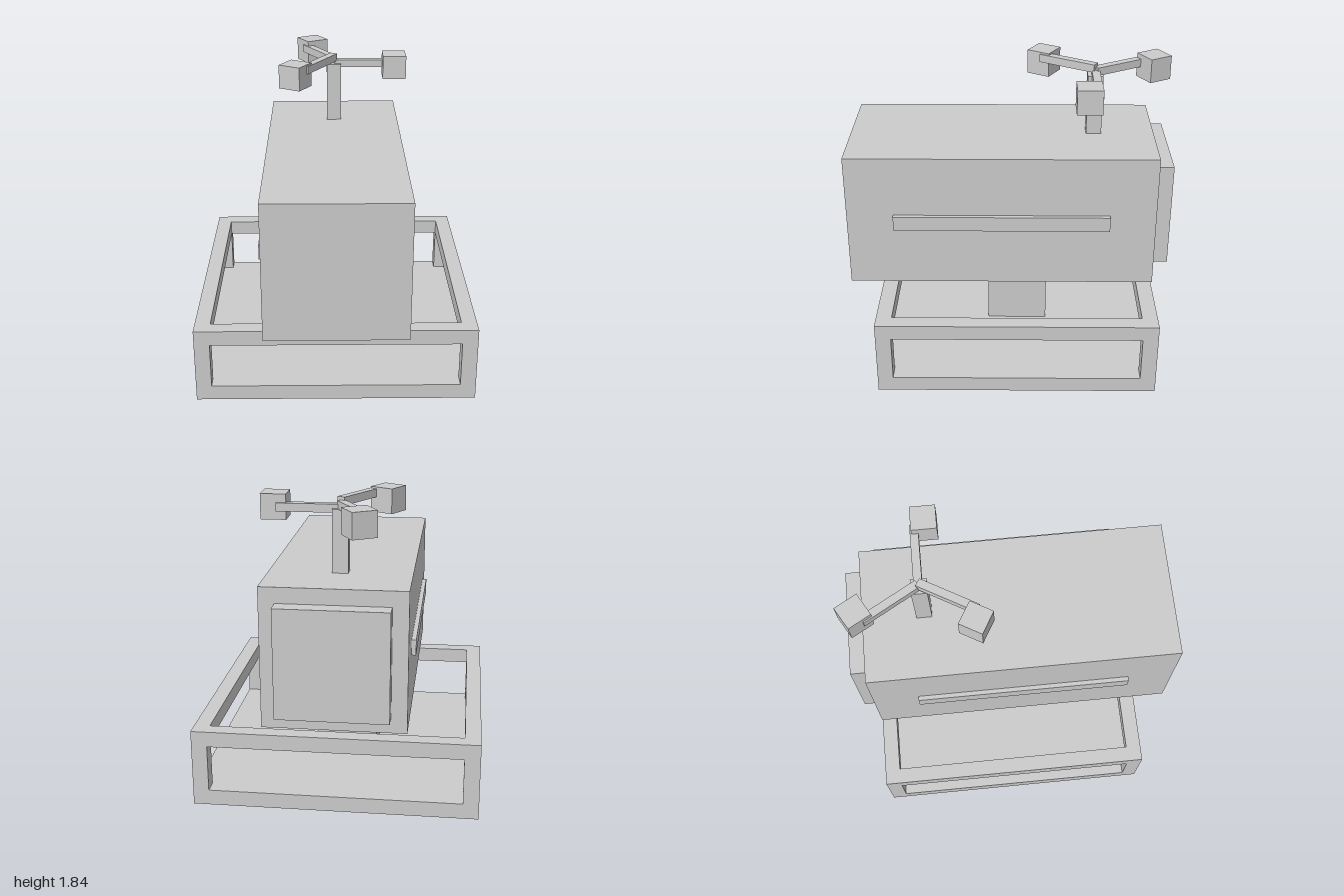
import * as THREE from 'three';

const material = new THREE.MeshStandardMaterial({ color: 0xcccccc, flatShading: true });

// Box given by its lower and upper limits on each axis
function box(parent, name, [x0, x1], [y0, y1], [z0, z1]) {
  const mesh = new THREE.Mesh(new THREE.BoxGeometry(x1 - x0, y1 - y0, z1 - z0), material);
  mesh.position.set((x0 + x1) / 2, (y0 + y1) / 2, (z0 + z1) / 2);
  mesh.name = name;
  parent.add(mesh);
  return mesh;
}

function rectangle(PathType, w, d) {
  return new PathType([[-w, -d], [w, -d], [w, d], [-w, d]].map(([x, y]) => new THREE.Vector2(x, y)));
}

export function createModel() {
  const model = new THREE.Group();
  model.name = 'machine';

  // Open base: floor slab, corner posts and a top rail
  const base = new THREE.Group();
  base.name = 'base';
  base.position.z = -0.0475;
  model.add(base);
  const half = 0.855, bar = 0.095, inner = half - bar;
  box(base, 'floorSlab', [-half, half], [0, bar], [-half, half]);
  for (const x of [-half, inner])
    for (const z of [-half, inner])
      box(base, 'cornerPost', [x, x + bar], [bar, 0.38], [z, z + bar]);
  const outline = rectangle(THREE.Shape, half, half);
  outline.holes.push(rectangle(THREE.Path, inner, inner));
  const railGeometry = new THREE.ExtrudeGeometry(outline, { depth: bar, bevelEnabled: false });
  railGeometry.rotateX(-Math.PI / 2);
  const rail = new THREE.Mesh(railGeometry, material);
  rail.name = 'topRail';
  rail.position.y = 0.38;
  base.add(rail);
  box(base, 'pedestal', [-0.19, 0.19], [bar, 0.475], [-0.19, 0.19]);

  // Body with rear panel and side strips
  box(model, 'body', [-0.4275, 0.4275], [0.525, 1.38], [-0.9, 1]);
  box(model, 'rearPanel', [-0.3325, 0.3325], [0.62, 1.285], [-1, -0.9]);
  for (const side of [-1, 1])
    box(model, 'sideStrip', [side * 0.44 - 0.015, side * 0.44 + 0.015], [0.905, 1], [-0.617, 0.713]);

  // Mast and three-armed rotor, arms stepped slightly in height
  box(model, 'mast', [-0.0475, 0.0475], [1.38, 1.76], [-0.57, -0.475]);
  const rotor = new THREE.Group();
  rotor.name = 'rotor';
  rotor.position.set(0, 1.76, -0.525);
  model.add(rotor);
  [0, 0.04, 0.02].forEach((lift, i) => {
    const spoke = new THREE.Group();
    spoke.name = 'spoke';
    spoke.rotation.y = -i * Math.PI * 2 / 3;
    box(spoke, 'arm', [0, 0.38], [lift - 0.025, lift + 0.025], [-0.025, 0.025]);
    box(spoke, 'cup', [0.32, 0.472], [-0.076, 0.076], [-0.016, 0.136]);
    rotor.add(spoke);
  });

  return model;
}
